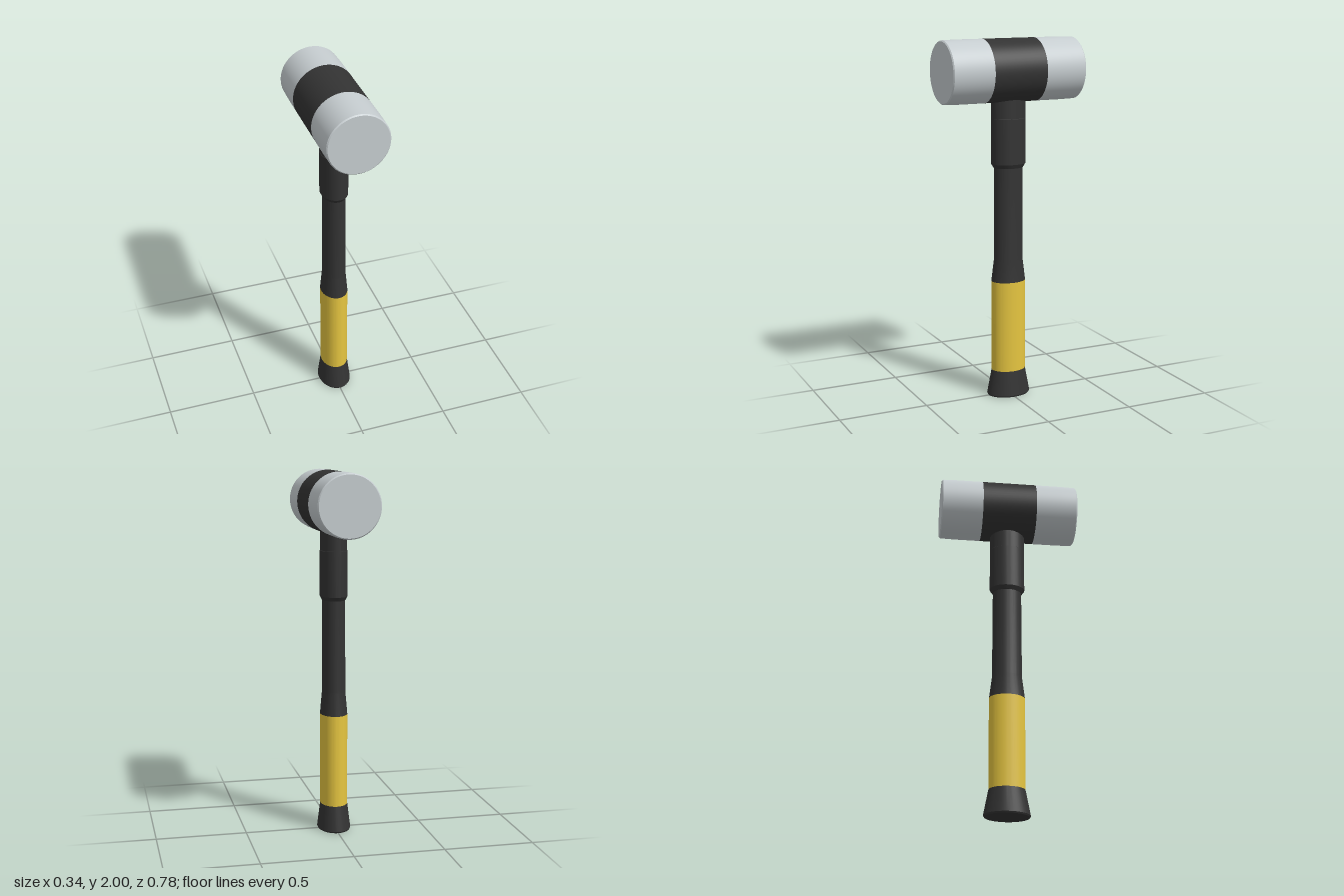
import * as THREE from 'three';
import { toCreasedNormals } from 'three/addons/utils/BufferGeometryUtils.js';

const rubber = new THREE.MeshStandardMaterial({ color: 0x333333 });
const yellow = new THREE.MeshStandardMaterial({ color: 0xe5c540 });
const metal = new THREE.MeshStandardMaterial({ color: 0xc6cdd0 });

// Lathe with an oval section; each ring is [y, half width x, half depth z]
function ovalLathe(name, rings, material) {
  const first = rings[0], last = rings[rings.length - 1];
  const all = [[first[0], 0, 0], ...rings, [last[0], 0, 0]];
  const geometry = new THREE.LatheGeometry(all.map(([y, rx]) => new THREE.Vector2(rx, y)), 64);
  const pos = geometry.attributes.position;
  for (let i = 0; i < pos.count; i++) {
    const [, rx, rz] = all[i % all.length];
    if (rx > 0) pos.setZ(i, pos.getZ(i) * rz / rx);
  }
  const mesh = new THREE.Mesh(toCreasedNormals(geometry, 0.15), material);
  mesh.name = name;
  return mesh;
}

export function createModel() {
  const model = new THREE.Group();
  model.name = 'mallet';

  // Handle, from the flared butt up to the collar under the head
  model.add(
    ovalLathe('buttCap', [[0, 0.088, 0.12], [0.008, 0.092, 0.125], [0.147, 0.075, 0.098]], rubber),
    ovalLathe('grip', [[0.147, 0.075, 0.098], [0.662, 0.075, 0.098]], yellow),
    ovalLathe('shaft', [[0.662, 0.075, 0.098], [0.79, 0.064, 0.082], [1.32, 0.062, 0.08]], rubber),
    ovalLathe('collar', [[1.3, 0.064, 0.083], [1.322, 0.075, 0.098], [1.57, 0.075, 0.098],
      [1.572, 0.072, 0.098], [1.75, 0.072, 0.098]], rubber),
  );

  // Cylindrical head lying along z, with a striking face on each end
  const head = new THREE.Group();
  head.name = 'head';
  head.position.y = 1.829;
  head.rotation.x = Math.PI / 2;
  const r = 0.171;
  head.add(ovalLathe('headBand', [[-0.153, r, r], [0.153, r, r]], rubber));
  for (const side of [1, -1]) {
    const face = ovalLathe(side > 0 ? 'frontFace' : 'backFace',
      [[0.153, r, r], [0.3, r, r], [0.382, 0.169, 0.169], [0.388, 0.163, 0.163]], metal);
    if (side < 0) face.rotation.x = Math.PI;
    head.add(face);
  }
  model.add(head);
  return model;
}
